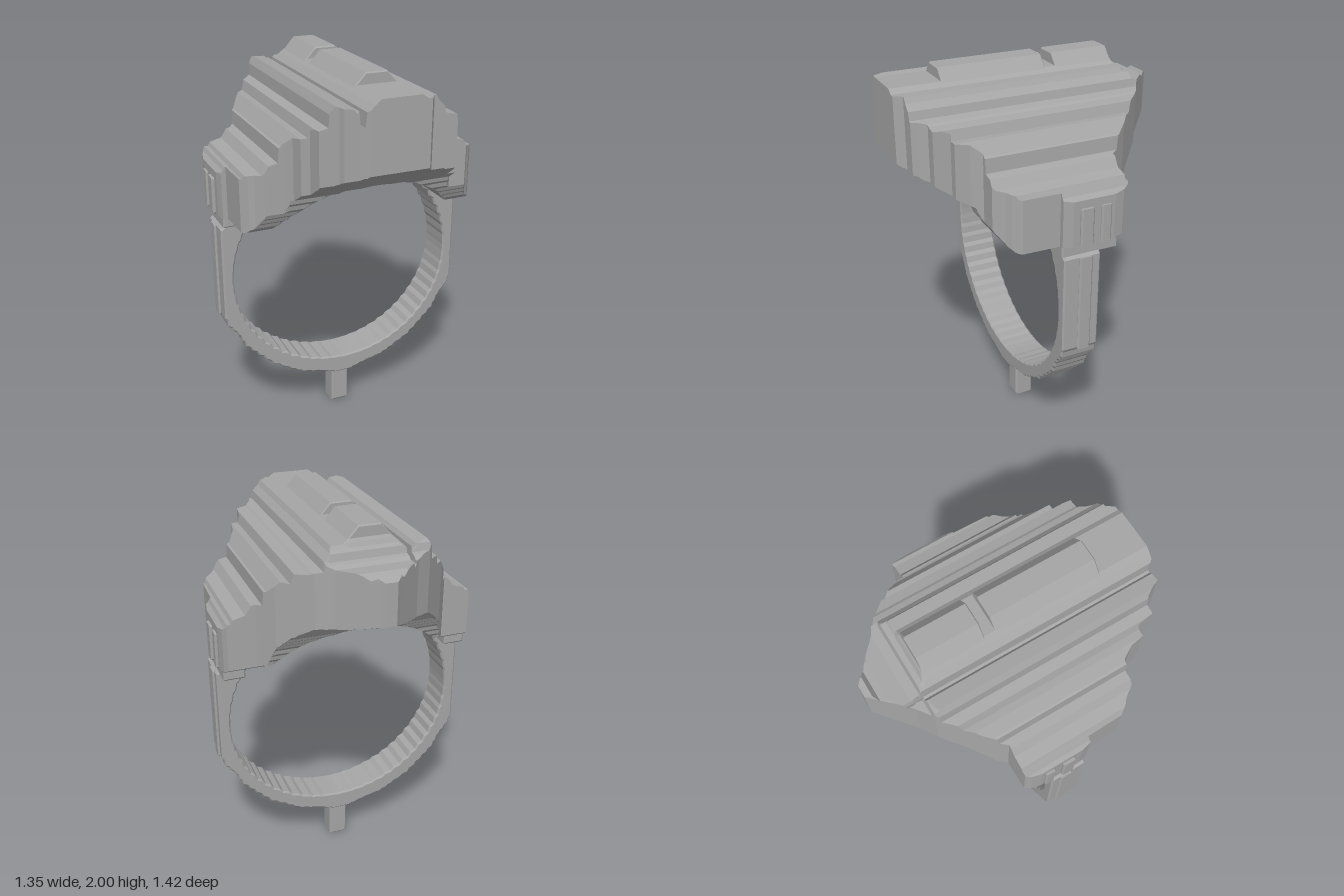
import * as THREE from 'three';

const metal = new THREE.MeshStandardMaterial({ color: 0xa6a6a6 });
metal.name = 'greyMetal';

// Turns a slope through the points into small bevelled steps of about the given size.
function terrace(pts, size) {
  const out = [pts[0]];
  for (let i = 1; i < pts.length; i++) {
    const [ax, ay] = pts[i - 1], [bx, by] = pts[i];
    const n = Math.max(1, Math.round(Math.hypot(bx - ax, by - ay) / size));
    const dx = (bx - ax) / n, dy = (by - ay) / n;
    for (let k = 0; k < n; k++) {
      if (Math.abs(dx) > 0.002 && Math.abs(dy) > 0.002) {
        out.push([ax + (k + 0.65) * dx, ay + (k + 0.35) * dy]);
      }
      out.push([ax + (k + 1) * dx, ay + (k + 1) * dy]);
    }
  }
  return out;
}

// Linear lookup in a list of [position, value] points.
function look(pts, p) {
  if (p <= pts[0][0]) return pts[0][1];
  for (let i = 1; i < pts.length; i++) {
    const [a, va] = pts[i - 1], [b, vb] = pts[i];
    if (p <= b) return va + (vb - va) * (p - a) / (b - a || 1);
  }
  return pts[pts.length - 1][1];
}

// Finger hole
const HOLE = { y: 0.89, rx: 0.61, ry: 0.575 };
const arch = x => HOLE.y + HOLE.ry * Math.sqrt(Math.max(0, 1 - (x / HOLE.rx) ** 2));

// Skyline of the head along x; the left and right halves differ near the groove
const slopeSide = [[0.3, 1.81], [0.35, 1.8], [0.365, 1.75], [0.4, 1.75], [0.45, 1.685], [0.46, 1.68],
  [0.465, 1.61], [0.51, 1.6], [0.54, 1.555], [0.6, 1.54], [0.61, 1.52], [0.63, 1.52], [0.64, 1.5], [0.66, 1.48]];
const skyline = [
  ...slopeSide.map(([x, y]) => [-x, y]).reverse(),
  [-0.295, 1.87], [-0.275, 1.91], [-0.21, 1.9], [-0.195, 1.88], [-0.185, 1.89], [-0.18, 1.83], [-0.165, 1.82],
  [-0.16, 1.89], [-0.13, 1.92], [-0.1, 1.945], [0.1, 1.945], [0.13, 1.925], [0.19, 1.925],
  [0.205, 1.9], [0.235, 1.87], [0.245, 1.83], [0.285, 1.82], ...slopeSide,
];
// Plan outline of the head against |x|
const frontEdge = [[0, 0.71], [0.15, 0.71], [0.18, 0.67], [0.255, 0.67], [0.265, 0.64], [0.29, 0.6], [0.345, 0.6],
  [0.355, 0.52], [0.4, 0.52], [0.41, 0.45], [0.44, 0.4], [0.53, 0.4], [0.565, 0.35], [0.59, 0.33],
  [0.62, 0.29], [0.625, 0.1], [0.65, 0.1], [0.66, 0.05]];
const backEdge = [[0, -0.71], [0.03, -0.71], [0.05, -0.69], [0.2, -0.55], [0.28, -0.5], [0.42, -0.35], [0.49, -0.25],
  [0.635, -0.25], [0.65, -0.22], [0.66, -0.17]];
// Underside and back roof heights along z
const underside = terrace([[-0.71, 1.61], [-0.6, 1.57], [-0.5, 1.55], [-0.4, 1.47], [-0.34, 1.4], [-0.3, 1.3],
  [-0.2, 1.25], [0.3, 1.25], [0.33, 1.27], [0.4, 1.36], [0.43, 1.43], [0.5, 1.475], [0.6, 1.54], [0.71, 1.6]], 0.035);
const backRoof = [[-0.71, 1.82], [-0.68, 1.84], [-0.66, 1.815], [-0.63, 1.845], [-0.55, 1.845], [-0.53, 1.86],
  [-0.505, 1.865], [-0.495, 1.9], [-0.47, 1.91], [-0.45, 1.95], [-0.44, 2.1]];

const sorted = list => [...new Set(list.map(v => +v.toFixed(4)))].sort((a, b) => a - b);

// Head: a grid of columns between the skyline above and the vaulted underside below
function headGeometry() {
  const edges = [...frontEdge, ...backEdge].map(p => p[0]);
  const vault = Array.from({ length: 47 }, (_, i) => -0.6 + i * 1.2 / 46);
  const xs = sorted([...skyline.map(p => p[0]), ...edges, ...edges.map(x => -x), ...vault]);
  const zs = sorted([...underside, ...backRoof].map(p => p[0]));
  const pos = [];
  const quad = (a, b, c, d) => pos.push(...a, ...b, ...c, ...a, ...c, ...d);
  const columns = xs.map(x => zs.map(zz => {
    const ax = Math.abs(x);
    const z = Math.min(look(frontEdge, ax), Math.max(look(backEdge, ax), zz));
    const top = Math.min(look(skyline, x), look(backRoof, z));
    const bottom = Math.max(arch(x), look(underside, z));
    return { t: [x, top, z], b: [x, bottom, z] };
  }));
  const nx = xs.length - 1, nz = zs.length - 1;
  for (let i = 0; i < nx; i++) {
    const p = columns[i], q = columns[i + 1];
    for (let k = 0; k < nz; k++) {
      quad(p[k].t, p[k + 1].t, q[k + 1].t, q[k].t);
      quad(p[k].b, q[k].b, q[k + 1].b, p[k + 1].b);
    }
    quad(p[nz].b, q[nz].b, q[nz].t, p[nz].t);
    quad(q[0].b, p[0].b, p[0].t, q[0].t);
  }
  for (let k = 0; k < nz; k++) {
    const l = columns[0], r = columns[nx];
    quad(r[k + 1].b, r[k].b, r[k].t, r[k + 1].t);
    quad(l[k].b, l[k + 1].b, l[k + 1].t, l[k].t);
  }
  const g = new THREE.BufferGeometry();
  g.setAttribute('position', new THREE.Float32BufferAttribute(pos, 3));
  g.computeVertexNormals();
  return g;
}

// Extrudes a polygon along z between z0 and z1 with a small chamfer
function prism(pts, z0, z1, bevel = 0.01) {
  const shape = new THREE.Shape(pts.map(([x, y]) => new THREE.Vector2(x, y)));
  const g = new THREE.ExtrudeGeometry(shape, {
    depth: z1 - z0 - 2 * bevel, bevelEnabled: bevel > 0, bevelSize: bevel,
    bevelThickness: bevel, bevelOffset: -bevel, bevelSegments: 1,
  });
  return g.translate(0, 0, z0 + bevel);
}

// Chamfered block given by its limits
function block(x0, x1, y0, y1, z0, z1, bevel = 0.008) {
  return prism([[x0, y0], [x1, y0], [x1, y1], [x0, y1]], z0, z1, bevel);
}

export function createModel() {
  const group = new THREE.Group();
  const add = (name, geometry) => {
    const mesh = new THREE.Mesh(geometry, metal);
    mesh.name = name;
    group.add(mesh);
  };

  add('head', headGeometry());

  // Raised ridge on top of the head, in two lengths with a gap between
  const ridge = [[-0.125, 1.92], [0.125, 1.92], [0.055, 2], [-0.055, 2]];
  add('frontRidge', prism(ridge, -0.085, 0.455, 0.006));
  add('backRidge', prism(ridge, -0.45, -0.14, 0.006));

  // Band: stepped outer curve with the finger hole cut out
  const half = [[0.665, 1.19], [0.665, 0.69], [0.65, 0.64], [0.6, 0.58], [0.56, 0.5], [0.49, 0.43], [0.41, 0.355],
    [0.31, 0.3], [0.24, 0.265], [0.13, 0.24], [0.05, 0.215]];
  const right = [[0.64, 1.3], [0.64, 1.21], ...terrace(half, 0.05)];
  const inner = [];
  for (let i = 0; i <= 44; i++) {
    const a = 2.42 + i * (Math.PI * 2 - 1.7) / 44;
    inner.push([HOLE.rx * Math.cos(a), HOLE.y + HOLE.ry * Math.sin(a)]);
  }
  const outer = [...right, ...right.map(([x, y]) => [-x, y]).reverse()];
  add('band', prism([...outer, ...terrace(inner, 0.045)], -0.1, 0.095, 0.008));

  // Peg under the band
  add('peg', block(-0.05, 0.05, 0, 0.25, -0.05, 0.05));

  // Shoulder collars, ribs and side strips on both sides
  for (const s of [1, -1]) {
    const side = s > 0 ? 'left' : 'right';
    const sideBlock = (name, x0, x1, ...rest) =>
      add(side + name, s > 0 ? block(x0, x1, ...rest) : block(-x1, -x0, ...rest));
    sideBlock('Collar', 0.54, 0.65, 1.2, 1.27, -0.2, 0.1);
    sideBlock('ShoulderRib', 0.63, 0.675, 1.25, 1.44, -0.055, 0.015);
    sideBlock('SmallRib', 0.63, 0.672, 1.25, 1.44, -0.15, -0.095);
    sideBlock('BandStrip', 0.63, 0.675, 0.68, 1.19, -0.055, 0.015);
  }
  return group;
}
